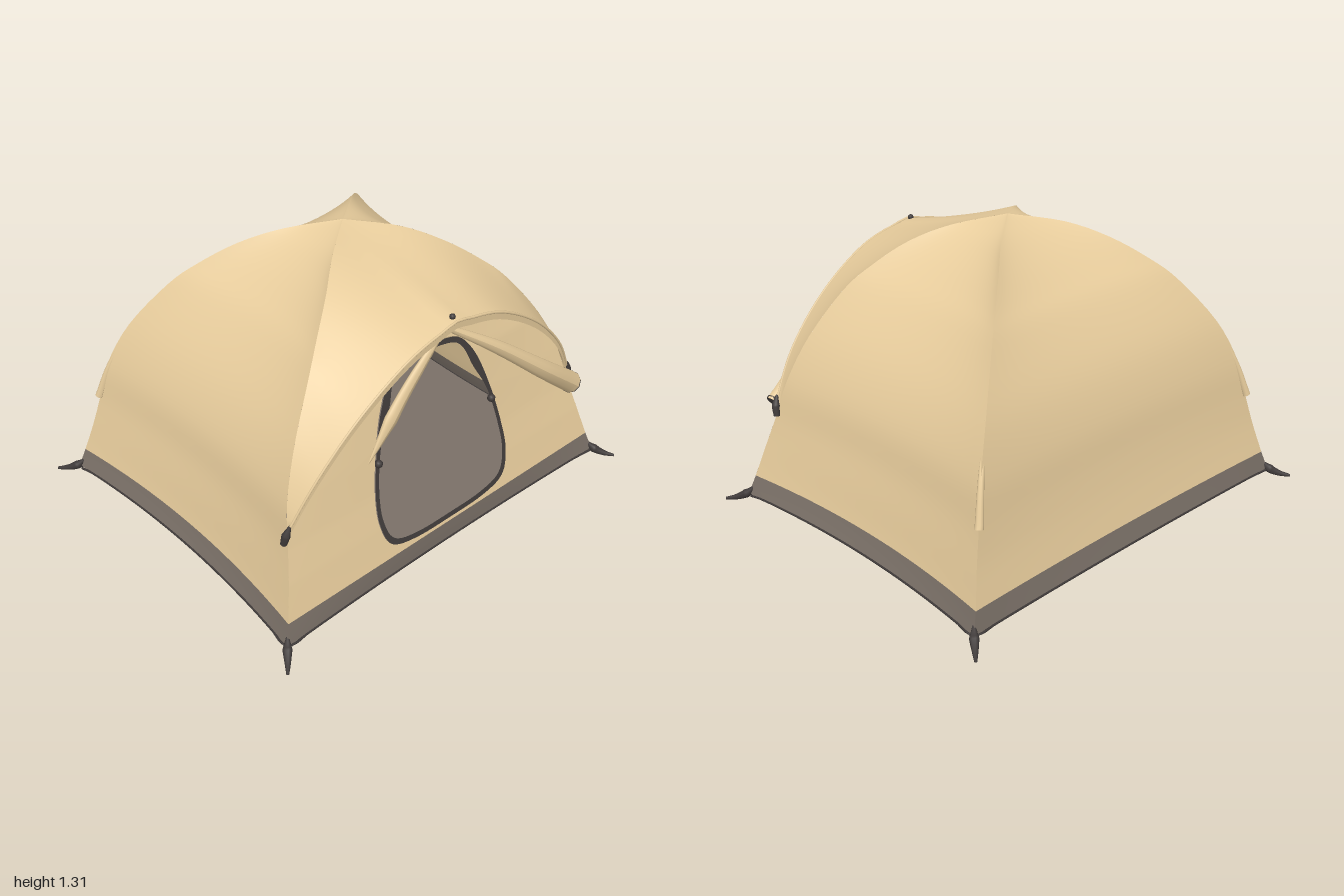
import * as THREE from 'three';

const mat = (name, color) => {
  const m = new THREE.MeshStandardMaterial({ color, side: THREE.DoubleSide });
  m.name = name;
  return m;
};
const V = (x, y, z) => new THREE.Vector3(x, y, z);

// Heights of the canopy: y, ridge x, back ridge z, front ridge z, panel sag
const LEVELS = [
  [0.04, 0.93, -0.745, 0.745, 0.055], [0.13, 0.9, -0.725, 0.72, 0.057],
  [0.28, 0.86, -0.69, 0.68, 0.05], [0.42, 0.825, -0.665, 0.638, 0.048],
  [0.6, 0.785, -0.635, 0.59, 0.045], [0.8, 0.695, -0.57, 0.533, 0.053],
  [1.0, 0.555, -0.455, 0.455, 0.07], [1.1, 0.455, -0.37, 0.388, 0.085],
  [1.2, 0.325, -0.255, 0.295, 0.082], [1.27, 0.185, -0.125, 0.175, 0.05],
  [1.31, 0, 0.03, 0.03, 0],
];
const smooth = (pts, closed = false) => new THREE.CatmullRomCurve3(pts, closed, 'catmullrom', 0.5);
const backRidge = smooth(LEVELS.map(l => V(l[1], l[0], l[2])));
const frontRidge = smooth(LEVELS.map(l => V(l[1], l[0], l[3])));
const sagCurve = smooth(LEVELS.map(l => V(l[4], l[0], 0)));
const SKIRT = 0.1;   // curve parameter where the skirt meets the canopy

// Surface from a rule p(u, v), with u and v from 0 to 1
function grid(p, nu, nv) {
  const pos = [], index = [];
  for (let j = 0; j <= nv; j++)
    for (let i = 0; i <= nu; i++) pos.push(...p(i / nu, j / nv).toArray());
  for (let j = 0; j < nv; j++)
    for (let i = 0; i < nu; i++) {
      const a = j * (nu + 1) + i, b = a + 1, c = a + nu + 1, d = c + 1;
      index.push(a, b, d, a, d, c);
    }
  const g = new THREE.BufferGeometry();
  g.setAttribute('position', new THREE.Float32BufferAttribute(pos, 3));
  g.setIndex(index);
  g.computeVertexNormals();
  return g;
}

// Tube whose radius changes along its path
function taperedTube(pts, radii, flat = 1) {
  const path = smooth(pts), n = 24;
  const g = new THREE.TubeGeometry(path, n, 1, 10), pos = g.attributes.position;
  for (let i = 0; i < pos.count; i++) {
    const t = Math.floor(i / 11) / n, c = path.getPointAt(t);
    const f = t * (radii.length - 1), k = Math.min(Math.floor(f), radii.length - 2);
    const r = THREE.MathUtils.lerp(radii[k], radii[k + 1], f - k);
    const o = V().fromBufferAttribute(pos, i).sub(c).multiplyScalar(r);
    pos.setXYZ(i, c.x + o.x, c.y + o.y, c.z + o.z * flat);
  }
  g.computeVertexNormals();
  return g;
}

// Closed outline mirrored from its right half, bottom middle to top middle
function outline(half, straight) {
  const pts = half.map(([x, y]) => V(x, y, 0));
  const left = half.slice(1, -1).reverse().map(([x, y]) => V(-x, y, 0));
  return new THREE.CatmullRomCurve3([...pts, ...left], true, 'catmullrom', straight ? 0 : 0.5);
}

// Depth of the leaning front wall: tied to the ridges, slightly fuller in the middle
function wallZ(x, y) {
  let i = 0;
  while (i < LEVELS.length - 2 && LEVELS[i + 1][0] < y) i++;
  const a = LEVELS[i], b = LEVELS[i + 1], t = (y - a[0]) / (b[0] - a[0]);
  const X = THREE.MathUtils.lerp(a[1], b[1], t), Z = THREE.MathUtils.lerp(a[3], b[3], t);
  const bulge = 0.06 * Math.pow(Math.max(0, (y - 0.13) / 0.97), 2);
  return Z + bulge * Math.max(0, 1 - (x / X) ** 2);
}

export function createModel() {
  const tent = new THREE.Group();
  tent.name = 'tent';
  const tan = mat('tan canvas', 0xe7cc9c);
  const grey = mat('grey groundsheet', 0x7a7067);
  const dark = mat('dark trim', 0x403b3a);
  const add = (name, geo, m) => {
    const mesh = new THREE.Mesh(geo, m);
    mesh.name = name;
    tent.add(mesh);
    return mesh;
  };

  // Panels between the ridges
  const backPoint = (u, t) => {
    const p = backRidge.getPoint(t), w = 2 * u - 1;
    return V(p.x * w, p.y, p.z + (0.25 + 0.65 * t) * sagCurve.getPoint(t).x * (1 - w * w));
  };
  const sidePoint = s => (u, t) => {
    const a = backRidge.getPoint(t), b = frontRidge.getPoint(t), w = 2 * u - 1;
    return V(s * (a.x - sagCurve.getPoint(t).x * (1 - w * w)), a.y, THREE.MathUtils.lerp(a.z, b.z, u));
  };
  const frontPoint = (u, t) => {
    const p = frontRidge.getPoint(t), w = 2 * u - 1;
    return V(p.x * w, p.y, p.z - 0.02 * (1 - t / SKIRT) * (1 - w * w));
  };
  for (const [name, p] of [['back', backPoint], ['left', sidePoint(1)], ['right', sidePoint(-1)]]) {
    add(name + 'Canopy', grid((u, v) => p(u, SKIRT + v * (1 - SKIRT)), 20, 36), tan);
    add(name + 'Skirt', grid((u, v) => p(u, v * SKIRT), 20, 3), grey);
  }
  add('frontSkirt', grid((u, v) => frontPoint(u, v * SKIRT), 20, 3), grey);

  // Floor and the dark hem around it
  const rim = [];
  const N = 16;
  for (let i = 0; i < N; i++) rim.push(frontPoint(i / N, 0));
  for (let i = 0; i < N; i++) rim.push(sidePoint(1)(1 - i / N, 0));
  for (let i = 0; i < N; i++) rim.push(backPoint(1 - i / N, 0));
  for (let i = 0; i < N; i++) rim.push(sidePoint(-1)(i / N, 0));
  add('floor', grid((u, v) => {
    const p = rim[Math.round(u * 4 * N) % (4 * N)];
    return V(p.x * v, 0.04, p.z * v);
  }, 4 * N, 1), grey);
  add('floorHem', new THREE.TubeGeometry(smooth(rim, true), 128, 0.005, 6, true), dark);

  // Front wall around the door opening, rising to the underside of the awning
  const door = outline([[0, 0.15], [0.2, 0.155], [0.33, 0.19], [0.375, 0.29], [0.372, 0.42],
    [0.335, 0.6], [0.275, 0.78], [0.2, 0.89], [0.1, 0.925], [0, 0.93]], false);
  const edge = outline([[0, 0.13], [0.5, 0.13], [0.9, 0.13], [0.86, 0.28], [0.825, 0.42],
    [0.785, 0.6], [0.695, 0.8], [0.555, 1.0], [0.32, 1.15], [0, 1.19]], true);
  add('frontWall', grid((u, v) => {
    const p = door.getPoint(u % 1).lerp(edge.getPoint(u % 1), v);
    return p.setZ(wallZ(p.x, p.y));
  }, 108, 10), tan);
  // Trim widens along the upper slopes of the door
  add('doorTrim', grid((u, v) => {
    const p = door.getPoint(u % 1);
    const wide = 0.055 + 0.09 * Math.exp(-(((p.y - 0.78) / 0.1) ** 2));
    const s = 1 - wide * (1 - v);
    p.set(p.x * s, 0.54 + (p.y - 0.54) * (1 - 0.055 * (1 - v)), 0);
    return p.setZ(wallZ(p.x, p.y) + 0.006);
  }, 108, 1), dark);

  // Awning from the front ridges to a forward arch
  const hem = smooth([V(0, 1.135, 0.69), V(0.25, 1.07, 0.69), V(0.5, 0.91, 0.68),
    V(0.7, 0.7, 0.66), V(0.835, 0.47, 0.625)]);
  const awning = (w, v) => {
    const a = frontRidge.getPoint(1 - 0.69 * Math.abs(w)), b = hem.getPoint(Math.abs(w));
    const p = a.lerp(b, v);
    p.y -= 0.035 * v * (1 - v) * (1 - w * w);
    if (w < 0) p.x *= -1;
    return p;
  };
  add('awning', grid((u, v) => awning(2 * u - 1, v), 48, 14), tan);
  const arch = dy => smooth(Array.from({ length: 25 }, (_, i) => {
    const p = awning(i / 12 - 1, 1);
    p.y -= dy;
    return p;
  }));
  const hemArch = arch(0), lowArch = arch(0.035);
  add('awningHem', grid((u, v) => hemArch.getPoint(u).lerp(lowArch.getPoint(u), v), 48, 1), tan);
  add('awningPiping', new THREE.TubeGeometry(hemArch, 48, 0.006, 6), tan);

  // Rolled door flaps, with a dark end, and the ties above
  add('leftFlap', taperedTube([V(0, 1.08, 0.63), V(0.25, 0.9, 0.685), V(0.53, 0.67, 0.71), V(0.785, 0.46, 0.685)],
    [0.012, 0.03, 0.042, 0.05], 0.9), tan);
  add('leftFlapEnd', taperedTube([V(0.775, 0.468, 0.687), V(0.784, 0.461, 0.685), V(0.792, 0.454, 0.683)],
    [0.051, 0.048, 0]), dark);
  add('rightFlap', taperedTube([V(0, 1.08, 0.63), V(-0.2, 0.85, 0.62), V(-0.38, 0.62, 0.625), V(-0.4, 0.59, 0.62)],
    [0.012, 0.028, 0.036, 0], 0.6), tan);
  const tie = (name, x, y, z, r) =>
    add(name, new THREE.SphereGeometry(r, 10, 8), dark).position.set(x, y, z);
  tie('flapTie', 0, 1.085, 0.65, 0.02);
  tie('roofTie', 0, 1.145, 0.665, 0.013);

  // Mirrored small parts
  for (const s of [1, -1]) {
    tie('doorToggle', s * 0.33, 0.56, wallZ(0.33, 0.56) + 0.005, 0.018);
    add('awningEnd', taperedTube([V(s * 0.81, 0.53, 0.635), V(s * 0.825, 0.485, 0.628), V(s * 0.83, 0.44, 0.618)],
      [0.005, 0.018, 0.014]), dark);
    add('backFlyTip', taperedTube([V(s * 0.69, 0.8, -0.56), V(s * 0.775, 0.6, -0.627), V(s * 0.825, 0.43, -0.668)],
      [0.003, 0.012, 0.018]), tan);
    for (const d of [1, -1])
      add('cornerTab', taperedTube([V(s * 0.91, 0.075, d * 0.725), V(s * 0.935, 0.04, d * 0.753),
        V(s * 0.965, 0.018, d * 0.79), V(s * 0.997, 0.008, d * 0.828)], [0.005, 0.02, 0.013, 0.006]), dark);
  }
  return tent;
}
